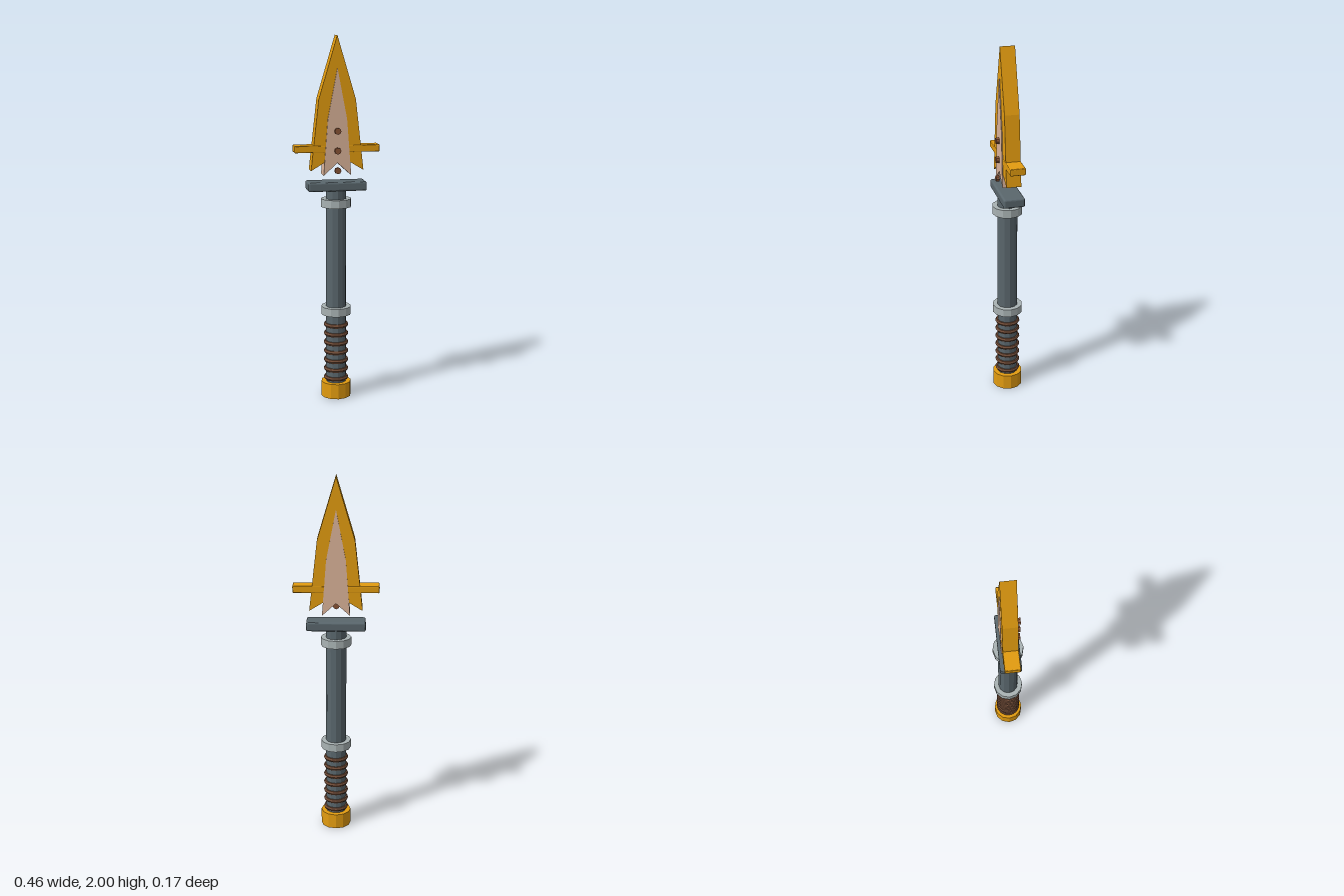
import * as THREE from 'three';
import { RoundedBoxGeometry } from 'three/addons/geometries/RoundedBoxGeometry.js';

const mat = (color) => new THREE.MeshStandardMaterial({ color, flatShading: true });

export function createModel() {
  const group = new THREE.Group();
  const gold = mat(0xe39c10), steel = mat(0x5a676d), silver = mat(0xaab4b5);
  const leather = mat(0x6e4a36), copper = mat(0x8a5436), bone = mat(0xdcb49a);

  const add = (name, geometry, material, x = 0, y = 0, z = 0) => {
    const mesh = new THREE.Mesh(geometry, material);
    mesh.name = name;
    mesh.position.set(x, y, z);
    group.add(mesh);
    return mesh;
  };
  // Upright faceted cylinder between two heights
  const post = (name, radius, y0, y1, material) =>
    add(name, new THREE.CylinderGeometry(radius, radius, y1 - y0, 12), material, 0, (y0 + y1) / 2);
  // Symmetric plate: the right half runs from tip to tail, ending at the notch on the axis
  const plate = (name, half, notchY, depth, material) => {
    const mirrored = half.slice(1).reverse().map(([x, y]) => [-x, y]);
    const points = [...half, [0, notchY], ...mirrored].map(([x, y]) => new THREE.Vector2(x, y));
    const geometry = new THREE.ExtrudeGeometry(new THREE.Shape(points), { depth, bevelEnabled: false });
    return add(name, geometry, material, 0, 0, -depth / 2);
  };

  // Handle
  post('pommel', 0.083, 0, 0.085, gold);
  post('shaft', 0.056, 0.08, 1.19, steel);
  post('lowerCollar', 0.083, 0.475, 0.52, silver);
  post('upperCollar', 0.083, 1.08, 1.125, silver);

  // Grip wraps
  for (let i = 0; i < 7; i++) {
    const wrap = add('gripWrap', new THREE.TorusGeometry(0.057, 0.012, 6, 16), leather, 0, 0.107 + i * 0.0512);
    wrap.rotation.x = Math.PI / 2;
  }

  // Guards
  add('handGuard', new RoundedBoxGeometry(0.32, 0.05, 0.116, 2, 0.01), steel, 0, 1.196);
  add('crossBar', new RoundedBoxGeometry(0.464, 0.038, 0.083, 2, 0.005), gold, 0, 1.4);

  // Blade with a swallow-tail base and an inlay standing slightly proud of it
  plate('blade', [[0, 2], [0.1, 1.665], [0.143, 1.283]], 1.37, 0.08, gold);
  plate('bladeInlay', [[0, 1.83], [0.052, 1.56], [0.075, 1.257]], 1.325, 0.09, bone);

  // Rivets on the front
  for (const y of [1.284, 1.39, 1.496]) {
    const rivet = add('rivet', new THREE.CylinderGeometry(0.018, 0.018, 0.017, 8), copper, 0, y, 0.0545);
    rivet.rotation.x = Math.PI / 2;
  }
  return group;
}
